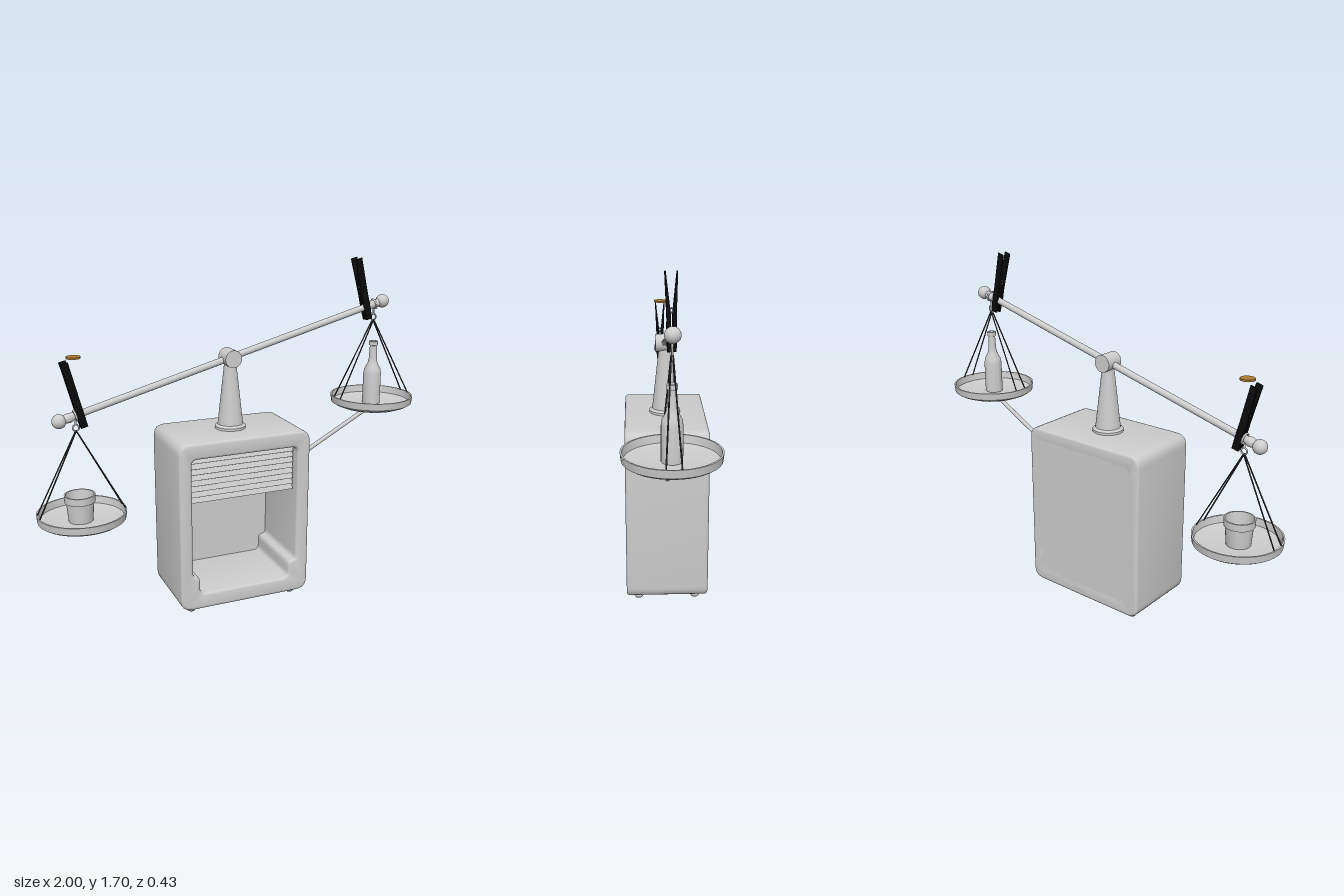
import * as THREE from 'three';
import { toCreasedNormals } from 'three/addons/utils/BufferGeometryUtils.js';

const V = (x, y, z = 0) => new THREE.Vector3(x, y, z);

export function createModel() {
  const model = new THREE.Group();
  model.name = 'balanceScale';
  const mat = (name, color) => {
    const m = new THREE.MeshStandardMaterial({ color });
    m.name = name;
    return m;
  };
  const grey = mat('light grey', 0xcccccc);
  const black = mat('black', 0x0c0c0c);
  const dark = mat('dark grey cord', 0x3a3a3a);
  const copper = mat('copper', 0xb07a30);

  const add = (name, geo, material, parent = model, pos = V(0, 0)) => {
    const mesh = new THREE.Mesh(geo, material);
    mesh.name = name;
    mesh.position.copy(pos);
    parent.add(mesh);
    return mesh;
  };
  const lathe = (pts, segs = 32) =>
    toCreasedNormals(new THREE.LatheGeometry(pts.map(p => new THREE.Vector2(...p)), segs), 0.5);
  const rod = (name, a, b, r, material, parent = model, sides = 16) => {
    const d = b.clone().sub(a);
    const mesh = add(name, new THREE.CylinderGeometry(r, r, d.length(), sides), material, parent,
      a.clone().add(b).multiplyScalar(0.5));
    mesh.quaternion.setFromUnitVectors(V(0, 1), d.normalize());
    return mesh;
  };
  // Closed outline with every corner rounded; points are [x, y, radius]
  const rounded = (pts, Kind) => {
    const path = new Kind();
    pts.forEach(([x, y, r], i) => {
      const c = new THREE.Vector2(x, y);
      const toward = q => new THREE.Vector2(q[0], q[1]).sub(c).setLength(r).add(c);
      const a = toward(pts[(i + pts.length - 1) % pts.length]);
      const b = toward(pts[(i + 1) % pts.length]);
      if (i) path.lineTo(a.x, a.y); else path.moveTo(a.x, a.y);
      path.quadraticCurveTo(x, y, b.x, b.y);
    });
    path.closePath();
    return path;
  };

  // Hollow cabinet with a stepped opening
  const cabinet = new THREE.Group();
  cabinet.name = 'cabinet';
  model.add(cabinet);
  const R = 0.06, B = 0.014;
  const outline = rounded([[-0.365, 0.027, R], [0.323, 0.027, R], [0.323, 0.888, R], [-0.365, 0.888, R]], THREE.Shape);
  outline.holes.push(rounded([
    [-0.265, 0.11, 0.03], [0.215, 0.11, 0.03], [0.215, 0.2, 0.025], [0.255, 0.2, 0.025],
    [0.255, 0.807, 0.03], [-0.3, 0.807, 0.03], [-0.3, 0.2, 0.025], [-0.265, 0.2, 0.025],
  ], THREE.Path));
  const shell = new THREE.ExtrudeGeometry(outline, {
    depth: 0.4 - 2 * B, bevelThickness: B, bevelSize: B, bevelOffset: -B, bevelSegments: 3, curveSegments: 6,
  });
  shell.translate(0, 0, -0.2 + B);
  add('cabinetShell', toCreasedNormals(shell, 0.6), grey, cabinet);
  add('cabinetBack', new THREE.BoxGeometry(0.6, 0.74, 0.025), grey, cabinet, V(-0.022, 0.458, -0.1875));

  // Louvred grille
  add('grilleBack', new THREE.BoxGeometry(0.55, 0.236, 0.012), grey, cabinet, V(-0.022, 0.69, 0.14));
  for (let i = 0; i < 8; i++) {
    const slat = add('grilleSlat', new THREE.BoxGeometry(0.54, 0.03, 0.008), grey, cabinet,
      V(-0.022, 0.59 + i * 0.0285, 0.153));
    slat.rotation.x = -0.4;
  }

  // Feet
  for (const x of [-0.295, 0.25]) for (const z of [-0.14, 0.14])
    add('foot', lathe([[0, 0], [0.017, 0], [0.022, 0.006], [0.022, 0.035], [0, 0.035]], 16), grey, model, V(x, 0, z));

  // Tapered post and pivot
  const px = -0.024, py = 1.24, tilt = 0.265;
  add('post', lathe([[0, 0.885], [0.077, 0.885], [0.077, 0.9], [0.066, 0.907], [0.063, 0.91], [0.03, 1.21], [0.028, 1.24], [0, 1.24]]),
    grey, model, V(px, 0));
  add('pivot', new THREE.CylinderGeometry(0.043, 0.043, 0.095, 32).rotateX(Math.PI / 2), grey, model, V(px, py));

  // Tilted beam with ball ends
  const beam = new THREE.Group();
  beam.name = 'beam';
  beam.position.set(px, py, 0);
  beam.rotation.z = tilt;
  model.add(beam);
  rod('beamBar', V(-0.86, 0), V(0.86, 0), 0.0165, grey, beam, 24);
  for (const s of [-1, 1]) {
    add('beamBall', new THREE.SphereGeometry(0.034, 24, 16), grey, beam, V(s * 0.878, 0));
    add('beamCollar', lathe([[0.016, -0.03], [0.024, 0], [0.018, 0.03]], 20).rotateZ(-s * Math.PI / 2),
      grey, beam, V(s * 0.83, 0));
  }

  // Hanging pans
  const panProfile = [[0, 0], [0.11, 0.003], [0.16, 0.012], [0.195, 0.026], [0.21, 0.036], [0.214, 0.072],
    [0.206, 0.072], [0.201, 0.036], [0.17, 0.03], [0, 0.026]];
  const hangPan = (name, x, y, hookX, hookY) => {
    const g = new THREE.Group();
    g.name = name;
    model.add(g);
    add('pan', lathe(panProfile, 40), grey, g, V(x, y));
    const beamY = py + (hookX - px) * Math.tan(tilt);
    const loop = add('beamLoop', new THREE.TorusGeometry(0.024, 0.005, 8, 24).rotateY(Math.PI / 2), grey, g, V(hookX, beamY));
    loop.rotation.z = tilt;
    rod('hookLink', V(hookX, beamY - 0.024), V(hookX, hookY + 0.014), 0.005, grey, g, 8);
    add('hookRing', new THREE.TorusGeometry(0.015, 0.004, 8, 20), grey, g, V(hookX, hookY));
    for (const sx of [-1, 1]) for (const sz of [-1, 1])
      rod('cord', V(hookX, hookY - 0.013, sz * 0.004), V(x + sx * 0.207, y + 0.066, sz * 0.032), 0.0035, dark, g, 6);
  };
  hangPan('leftPan', 0.784, 0.907, 0.775, 1.39);
  hangPan('rightPan', -0.789, 0.486, -0.795, 0.972);

  // Bottle and cup
  add('bottle', lathe([[0, 0], [0.043, 0], [0.046, 0.005], [0.046, 0.16], [0.042, 0.185], [0.026, 0.215], [0.021, 0.24],
    [0.018, 0.31], [0.023, 0.312], [0.023, 0.332], [0.017, 0.335], [0.014, 0.3], [0, 0.3]], 28), grey, model, V(0.784, 0.931));
  add('cup', lathe([[0, 0], [0.058, 0], [0.066, 0.095], [0.073, 0.097], [0.074, 0.133], [0.067, 0.133], [0.056, 0.012], [0, 0.012]]),
    grey, model, V(-0.795, 0.512));

  // Clothes pegs gripping the beam, handles spread upwards
  const leg = new THREE.Shape([[0.006, 0], [0.018, 0], [0.022, 0.07], [0.02, 0.13], [0.027, 0.32], [0.022, 0.32],
    [0.003, 0.15], [0.003, 0.1], [0.012, 0.08], [0.012, 0.045], [0.003, 0.03]].map(p => new THREE.Vector2(...p)));
  const legGeo = new THREE.ExtrudeGeometry(leg, { depth: 0.034, bevelEnabled: false });
  legGeo.translate(0, 0, -0.017).rotateY(-Math.PI / 2);
  const peg = (x, y) => {
    const g = new THREE.Group();
    g.name = 'clothesPeg';
    g.position.set(x, y, 0);
    g.rotation.z = 0.253;
    model.add(g);
    add('pegLeg', legGeo, black, g);
    add('pegLeg', legGeo, black, g).rotation.y = Math.PI;
    for (const sx of [-0.012, 0, 0.012])
      add('pegSpring', new THREE.TorusGeometry(0.009, 0.003, 6, 16).rotateY(Math.PI / 2), grey, g, V(sx, 0.165));
  };
  peg(0.741, 1.382);
  peg(-0.757, 0.973);

  // Coin above the right peg
  add('coin', new THREE.CylinderGeometry(0.034, 0.034, 0.009, 28), copper, model, V(-0.79, 1.302));

  // Slanted brace from the cabinet side to the raised pan
  rod('brace', V(0.3, 0.653), V(0.795, 0.922), 0.011, grey);

  return model;
}
